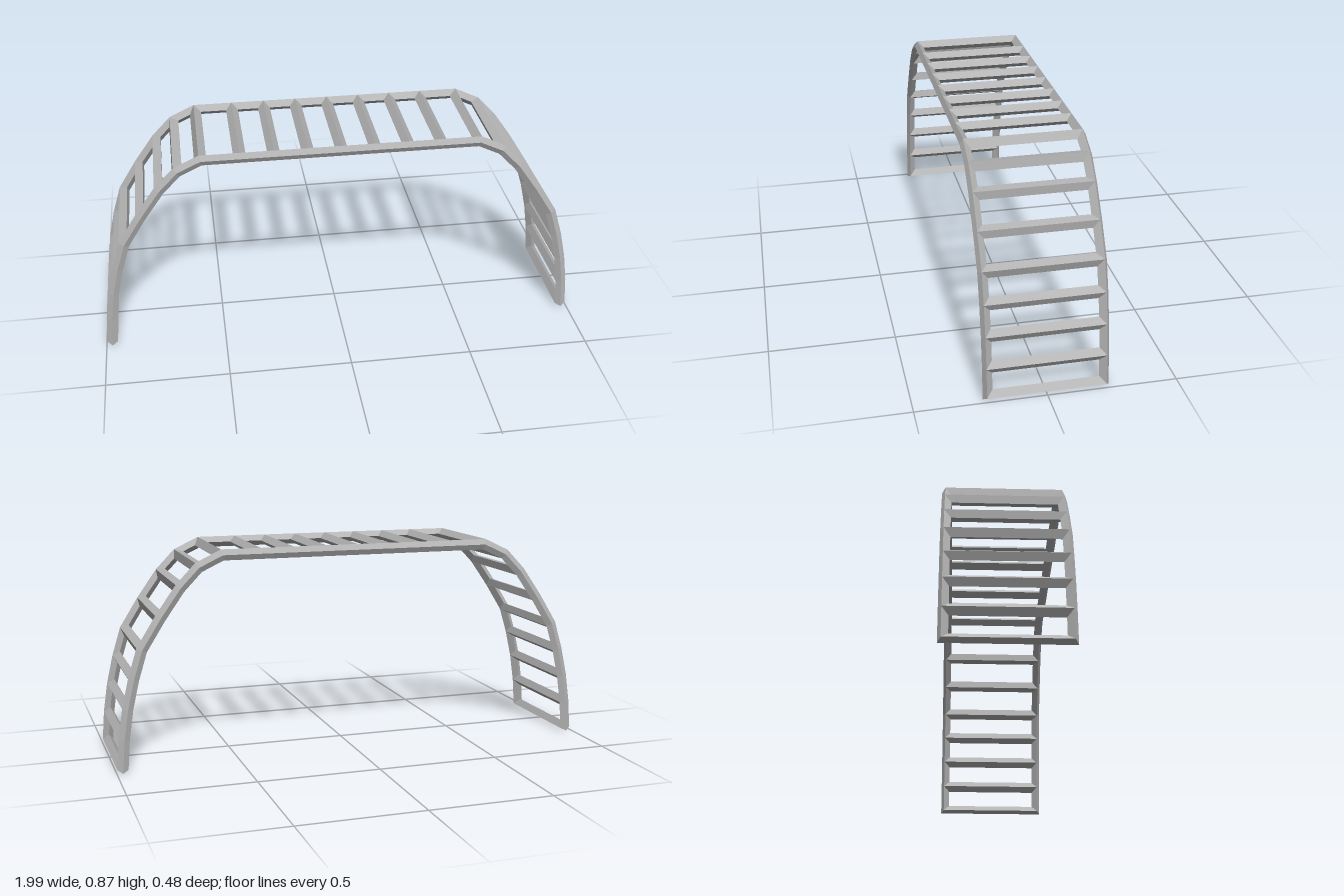
import * as THREE from 'three';

const HALF = 0.228;   // centre line of each side rail in z
const THICK = 0.022;  // ridge height above and below the arch surface
const INSET = 0.025;  // bar half width towards the openings
const OUTSET = 0.0125; // bar half width on the outer border

// right half of the arch centre line, foot to middle
const HALF_ARCH = [
  [0.975, 0.013], [0.966, 0.133], [0.948, 0.255], [0.921, 0.373], [0.886, 0.487],
  [0.811, 0.607], [0.73, 0.722], [0.655, 0.8], [0.56, 0.845],
  [0.405, 0.845], [0.27, 0.845], [0.135, 0.845], [0, 0.845],
];

export function createModel() {
  const group = new THREE.Group();
  const steel = new THREE.MeshStandardMaterial({ color: 0xb4b4b4 });
  steel.name = 'grey steel';

  const mirrored = HALF_ARCH.slice(0, -1).reverse().map(([x, y]) => [-x, y]);
  const pts = [...HALF_ARCH, ...mirrored].map(([x, y]) => new THREE.Vector3(x, y, 0));
  const last = pts.length - 1;
  const dir = (i) => pts[i + 1].clone().sub(pts[i]).normalize();

  // outward normal at each joint, lengthened at bends to keep bars even
  const normals = pts.map((p, i) => {
    const a = dir(Math.max(i - 1, 0)), b = dir(Math.min(i, last - 1));
    const t = a.clone().add(b).normalize();
    return new THREE.Vector3(t.y, -t.x, 0).multiplyScalar(THICK / t.dot(a));
  });

  // corner points of the diamond section
  const core = (i, s) => pts[i].clone().setZ(s * HALF);
  const ridge = (i, s, k) => core(i, s).addScaledVector(normals[i], k);
  const border = (i, s) => {
    const p = core(i, s).setZ(s * (HALF + OUTSET));
    if (i === 0) p.addScaledVector(dir(0), -OUTSET);
    if (i === last) p.addScaledVector(dir(last - 1), OUTSET);
    return p;
  };
  // inner corner of opening "cell" at joint i
  const inner = (i, s, cell) =>
    core(i, s).setZ(s * (HALF - INSET)).addScaledVector(dir(cell), cell === i ? INSET : -INSET);

  // adds a quad facing away from the bar's core
  function quad(out, a, b, c, d, centre) {
    const mid = a.clone().add(b).add(c).add(d).multiplyScalar(0.25).sub(centre);
    const n = c.clone().sub(a).cross(d.clone().sub(b));
    const q = n.dot(mid) >= 0 ? [a, b, c, a, c, d] : [a, c, b, a, d, c];
    out.push(...q);
  }
  function addBar(name, points) {
    const geo = new THREE.BufferGeometry().setFromPoints(points);
    geo.computeVertexNormals();
    const mesh = new THREE.Mesh(geo, steel);
    mesh.name = name;
    group.add(mesh);
  }

  // curved side rails
  for (const s of [1, -1]) {
    const out = [];
    for (let i = 0; i < last; i++) {
      const centre = core(i, s).add(core(i + 1, s)).multiplyScalar(0.5);
      for (const k of [1, -1]) {
        const a = ridge(i, s, k), b = ridge(i + 1, s, k);
        quad(out, a, b, inner(i + 1, s, i), inner(i, s, i), centre);
        quad(out, a, b, border(i + 1, s), border(i, s), centre);
      }
    }
    addBar(s > 0 ? 'frontRail' : 'backRail', out);
  }

  // rungs, mitred into the rails; the first and last are the foot bars
  for (let i = 0; i <= last; i++) {
    const out = [];
    for (const k of [1, -1]) {
      const a = ridge(i, 1, k), b = ridge(i, -1, k);
      for (const cell of [i - 1, i]) {
        const open = cell >= 0 && cell < last;
        const c = open ? inner(i, -1, cell) : border(i, -1);
        const d = open ? inner(i, 1, cell) : border(i, 1);
        quad(out, a, b, c, d, pts[i]);
      }
    }
    addBar(i === 0 || i === last ? 'footBar' : 'rung', out);
  }
  return group;
}
